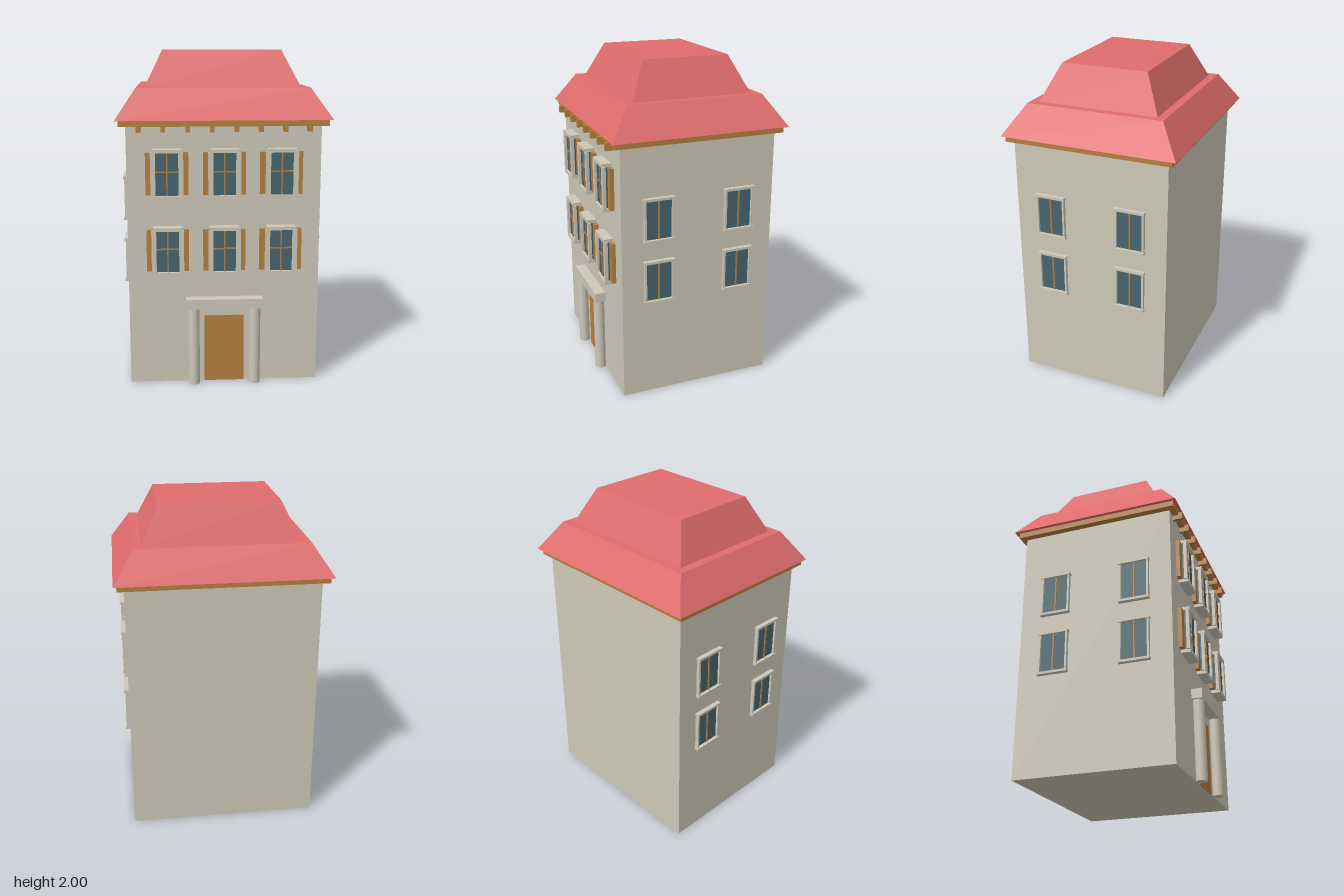
import * as THREE from 'three';

const mat = (name, color) => {
  const m = new THREE.MeshStandardMaterial({ color });
  m.name = name;
  return m;
};

export function createModel() {
  const stone = mat('stone', 0xcdc8b8);
  const roofRed = mat('roofRed', 0xe06c6c);
  const wood = mat('wood', 0xb5803f);
  const glass = mat('glass', 0x47656f);

  const house = new THREE.Group();
  house.name = 'house';

  // Box given by its limits on each axis
  function box(parent, name, material, x0, x1, y0, y1, z0, z1) {
    const mesh = new THREE.Mesh(new THREE.BoxGeometry(x1 - x0, y1 - y0, z1 - z0), material);
    mesh.position.set((x0 + x1) / 2, (y0 + y1) / 2, (z0 + z1) / 2);
    mesh.name = name;
    parent.add(mesh);
    return mesh;
  }

  // Box whose top is narrowed to form a hipped roof tier
  function tier(name, y0, y1, halfX, halfZ, topX, topZ, z) {
    const geo = new THREE.BoxGeometry(2, y1 - y0, 2);
    const p = geo.attributes.position;
    for (let i = 0; i < p.count; i++) {
      const top = p.getY(i) > 0;
      p.setX(i, p.getX(i) * (top ? topX : halfX));
      p.setZ(i, p.getZ(i) * (top ? topZ : halfZ));
    }
    geo.computeVertexNormals();
    const mesh = new THREE.Mesh(geo, roofRed);
    mesh.position.set(0, (y0 + y1) / 2, z);
    mesh.name = name;
    house.add(mesh);
  }

  // Walls, eave board and two-tier roof
  box(house, 'walls', stone, -0.57, 0.57, 0, 1.58, -0.48, 0.475);
  box(house, 'eaveBoard', wood, -0.61, 0.61, 1.57, 1.61, -0.515, 0.51);
  tier('lowerRoof', 1.605, 1.785, 0.63, 0.535, 0.51, 0.415, -0.005);
  tier('upperRoof', 1.78, 2, 0.462, 0.368, 0.355, 0.262, -0.005);

  // Brackets under the front eave
  for (let i = 0; i < 8; i++) {
    const x = -0.495 + i * 0.1414;
    box(house, 'eaveBracket', wood, x - 0.012, x + 0.012, 1.54, 1.585, 0.47, 0.535);
  }

  // Front windows with shutters, built around the wall plane z = 0
  function frontWindow(x, y) {
    const w = new THREE.Group();
    w.name = 'frontWindow';
    w.position.set(x, y, 0.475);
    box(w, 'pane', glass, -0.075, 0.075, -0.125, 0.125, -0.005, 0.043);
    for (const s of [-1, 1]) {
      const shutter = box(w, 'shutter', wood, -0.0225, 0.0225, -0.125, 0.125, -0.005, 0.024);
      shutter.position.x = s * 0.1025;
      const jamb = box(w, 'jamb', stone, -0.0145, 0.0145, -0.128, 0.128, 0.038, 0.058);
      jamb.position.x = s * 0.081;
      const rail = box(w, s > 0 ? 'lintel' : 'sill', stone, -0.085, 0.085, -0.0105, 0.0105, -0.005, 0.06);
      rail.position.y = s * 0.135;
    }
    box(w, 'mullion', wood, -0.004, 0.004, -0.125, 0.125, 0.04, 0.048);
    box(w, 'glazingBar', wood, -0.066, 0.066, 0.011, 0.019, 0.04, 0.048);
    house.add(w);
  }
  for (const y of [0.835, 1.295]) for (const x of [-0.335, 0, 0.335]) frontWindow(x, y);

  // Side windows, turned to face left and right
  function sideWindow(side, y, z) {
    const w = new THREE.Group();
    w.name = 'sideWindow';
    w.position.set(side * 0.57, y, z);
    w.rotation.y = side * Math.PI / 2;
    box(w, 'pane', glass, -0.082, 0.082, -0.125, 0.125, -0.005, 0.008);
    box(w, 'mullion', wood, -0.005, 0.005, -0.122, 0.122, 0.004, 0.014);
    for (const s of [-1, 1]) {
      const jamb = box(w, 'jamb', stone, -0.006, 0.006, -0.125, 0.125, -0.005, 0.022);
      jamb.position.x = s * 0.085;
      const rail = box(w, s > 0 ? 'lintel' : 'sill', stone, -0.095, 0.095, -0.0075, 0.0075, -0.005, 0.028);
      rail.position.y = s * 0.1265;
    }
    house.add(w);
  }
  for (const side of [-1, 1])
    for (const y of [0.74, 1.125])
      for (const z of [-0.255, 0.25]) sideWindow(side, y, z);

  // Doorway with two columns and a lintel
  box(house, 'door', wood, -0.12, 0.12, 0, 0.42, 0.472, 0.48);
  box(house, 'doorLintel', stone, -0.23, 0.23, 0.48, 0.54, 0.47, 0.54);
  for (const s of [-1, 1]) {
    const column = new THREE.Mesh(new THREE.CylinderGeometry(0.034, 0.034, 0.48, 24), stone);
    column.position.set(s * 0.184, 0.24, 0.506);
    column.name = 'column';
    house.add(column);
  }

  return house;
}
